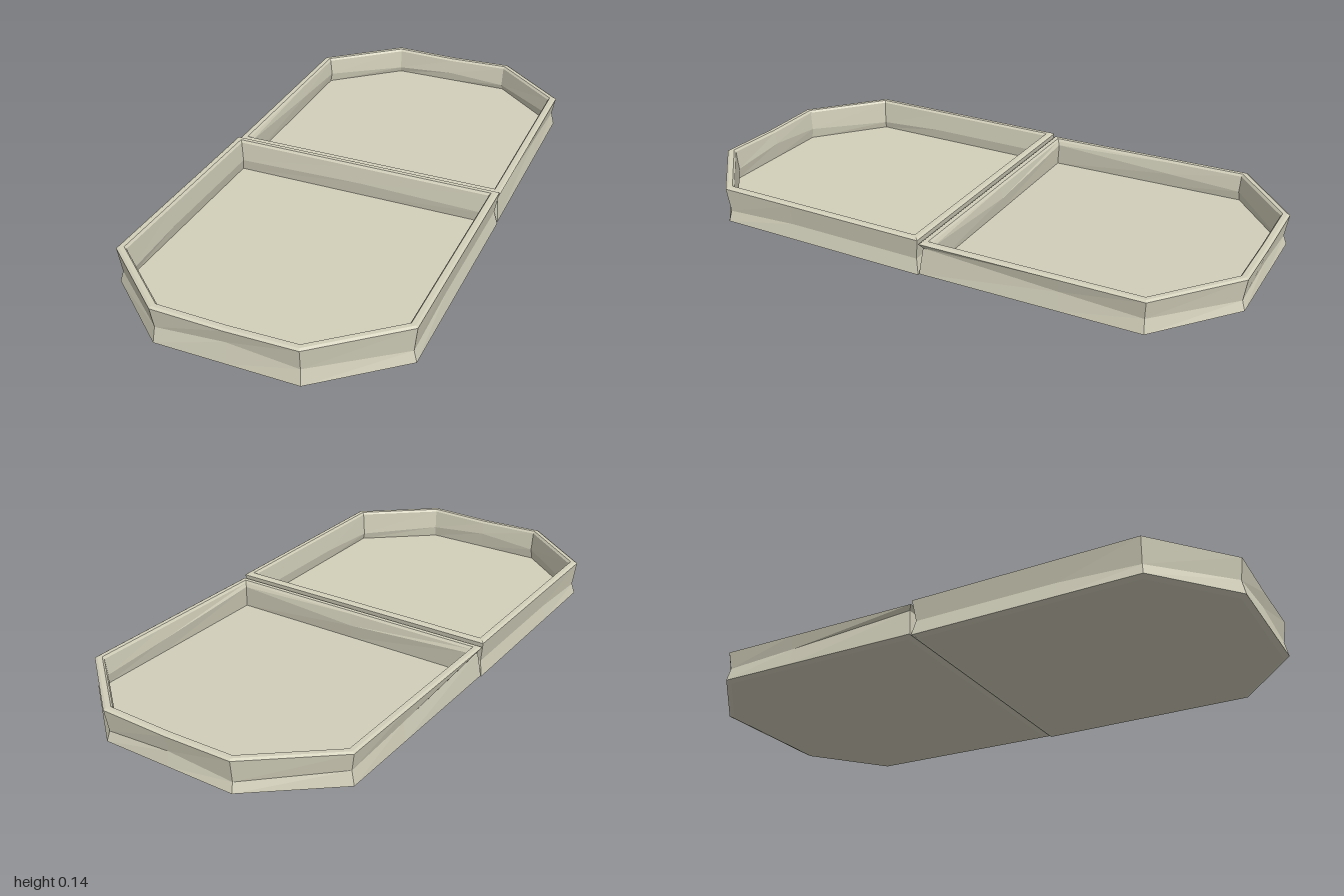
import * as THREE from 'three';

const material = new THREE.MeshStandardMaterial({ color: 0xd2cfba, flatShading: true });

// Moves every point of a closed outline inward by d, keeping mitred corners.
function inset(points, d) {
  const n = points.length;
  const normal = (a, b) => {
    const dx = b[0] - a[0], dz = b[1] - a[1], l = Math.hypot(dx, dz);
    return [dz / l, -dx / l];
  };
  return points.map((p, i) => {
    const a = normal(points[(i + n - 1) % n], p);
    const b = normal(p, points[(i + 1) % n]);
    const k = d / (1 + a[0] * b[0] + a[1] * b[1]);
    return [p[0] - k * (a[0] + b[0]), p[1] - k * (a[1] + b[1])];
  });
}

// One shallow tray with its straight hinge edge at z = start and chamfered far corners.
// creases: height of the wall's inward fold at hinge corner, side, corner, end corner, end middle.
function tray(name, start, creases, bottom, top) {
  const half = [[0.502, start], [0.502, 0.5], [0.502, 0.78], [0.24, 1]];
  const outline = [
    ...half, [0, 1],
    ...half.map(([x, z]) => [-x, z]).reverse(), [0, start],
  ];
  const fold = [...creases, ...creases.slice(0, 4).reverse(), 0.07];

  // Cross-section: underside bevel, folded outer wall, rim, folded inner wall, floor.
  const sections = [
    [0.018, () => 0],
    [0, () => 0.008],
    [0.011, (i) => fold[i]],
    [0, (i, h) => h - 0.005],
    [0.008, (i, h) => h],
    [0.023, (i, h) => h],
    [0.029, (i, h) => h - 0.008],
    [0.035, (i) => fold[i]],
    [0.028, () => 0.02],
  ];
  const count = outline.length;
  const vertices = [];
  const place = (x, y, z) => vertices.push(x, y + bottom(z), z);
  for (const [d, height] of sections) {
    inset(outline, d).forEach(([x, z], i) => {
      const sag = i === 4 ? 0.005 : 0;
      place(x, height(i, top(z) - bottom(z) - sag), z);
    });
  }

  // Walls between neighbouring rings
  const index = [];
  for (let r = 0; r < sections.length - 1; r++) {
    for (let i = 0; i < count; i++) {
      const a = r * count + i, b = r * count + (i + 1) % count;
      index.push(a, a + count, b, b, a + count, b + count);
    }
  }

  // Underside and floor
  const last = (sections.length - 1) * count, centre = sections.length * count;
  place(0, 0, 0.5);
  place(0, 0.02, 0.5);
  for (let i = 0; i < count; i++) {
    const j = (i + 1) % count;
    index.push(centre, i, j, centre + 1, last + j, last + i);
  }

  const geometry = new THREE.BufferGeometry();
  geometry.setAttribute('position', new THREE.Float32BufferAttribute(vertices, 3));
  geometry.setIndex(index);
  const flat = geometry.toNonIndexed();
  flat.computeVertexNormals();
  const mesh = new THREE.Mesh(flat, material);
  mesh.name = name;
  return mesh;
}

export function createModel() {
  const group = new THREE.Group();
  group.name = 'hingedTray';

  const front = tray('frontTray', -0.008, [0.06, 0.06, 0.045, 0.06, 0.08],
    () => 0, () => 0.138);

  // The rear half tilts up slightly away from the hinge
  const back = tray('backTray', 0.012, [0.1, 0.07, 0.055, 0.04, 0.055],
    (z) => 0.005 + 0.014 * z, (z) => 0.126 + 0.014 * z);
  back.rotation.y = Math.PI;

  group.add(front, back);
  return group;
}
